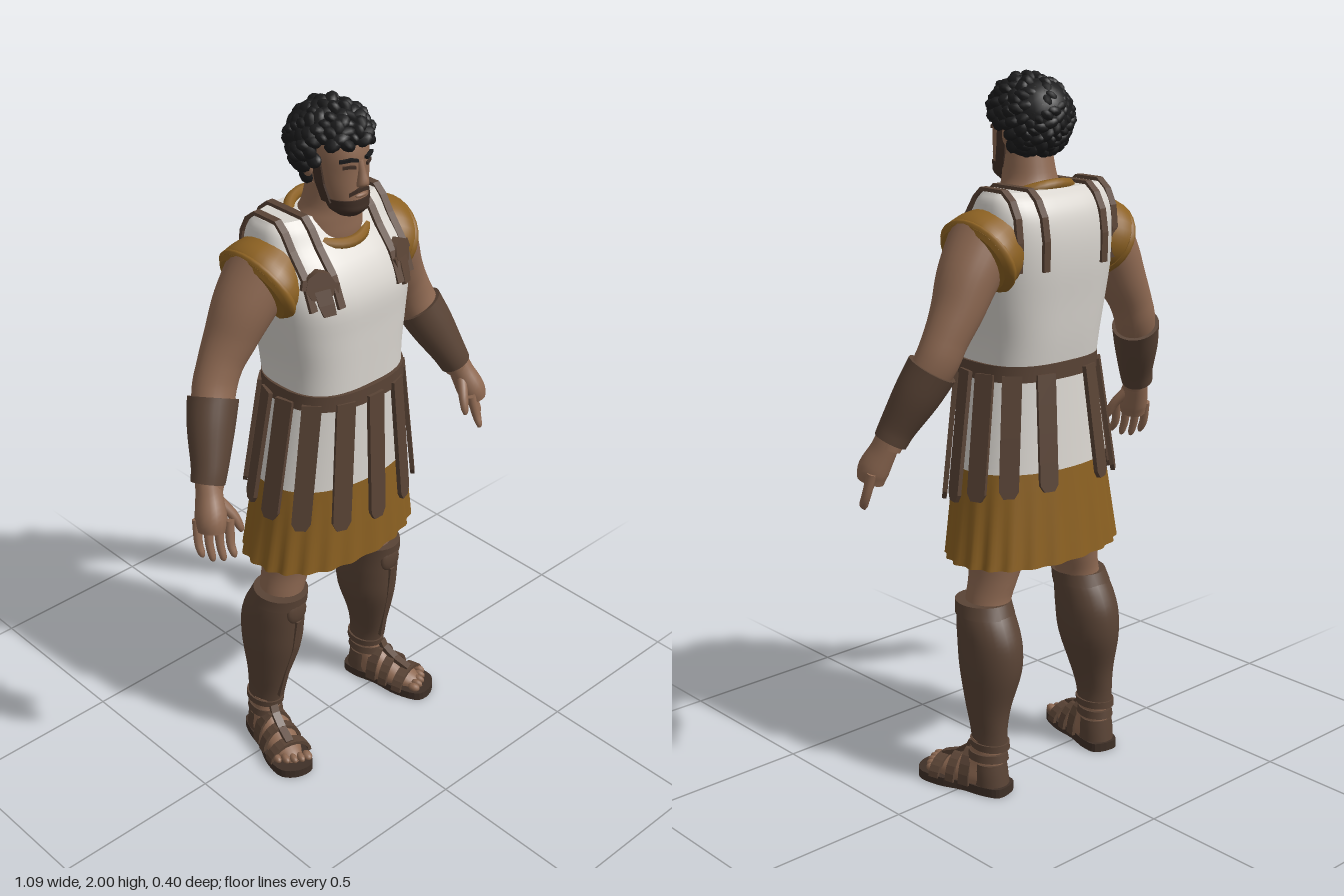
import * as THREE from 'three';
import { mergeGeometries } from 'three/addons/utils/BufferGeometryUtils.js';

const V = (x, y, z) => new THREE.Vector3(x, y, z);
const material = (name, color, side = THREE.FrontSide) =>
  Object.assign(new THREE.MeshStandardMaterial({ color, side }), { name });

// Closed skin over rows of points, with optional end caps
function skin(rows, caps = true) {
  const n = rows[0].length, pos = [], idx = [];
  rows.forEach(r => r.forEach(p => pos.push(p.x, p.y, p.z)));
  for (let i = 0; i < rows.length - 1; i++) for (let j = 0; j < n; j++) {
    const a = i * n + j, b = i * n + (j + 1) % n;
    idx.push(a, b, b + n, a, b + n, a + n);
  }
  if (caps) [rows[0], rows[rows.length - 1]].forEach((r, end) => {
    const base = pos.length / 3, c = V(0, 0, 0);
    r.forEach(p => { pos.push(p.x, p.y, p.z); c.addScaledVector(p, 1 / n); });
    pos.push(c.x, c.y, c.z);
    for (let j = 0; j < n; j++) {
      const a = base + j, b = base + (j + 1) % n;
      idx.push(...(end ? [a, b, base + n] : [b, a, base + n]));
    }
  });
  const g = new THREE.BufferGeometry();
  g.setAttribute('position', new THREE.Float32BufferAttribute(pos, 3));
  g.setIndex(idx);
  g.computeVertexNormals();
  return g;
}

// Smooth loft through rings [x, y, z, radiusA, radiusB], listed from bottom to top
function sweep(rings, { seg = 28, n = 2, flat = true, sub = 4, wave = () => 1, caps = true } = {}) {
  const path = new THREE.CatmullRomCurve3(rings.map(r => V(r[0], r[1], r[2])), false, 'catmullrom', 0.5);
  const size = new THREE.CatmullRomCurve3(rings.map(r => V(r[3], r[4], 0)), false, 'catmullrom', 0.5);
  const count = (rings.length - 1) * sub, rows = [];
  const power = a => Math.sign(a) * Math.abs(a) ** (2 / n);
  for (let i = 0; i <= count; i++) {
    const t = i / count, c = path.getPoint(t), r = size.getPoint(t);
    const dir = flat ? V(0, 1, 0) : path.getTangent(t);
    const u = V().crossVectors(dir, V(0, 0, 1)).normalize(), v = V().crossVectors(u, dir);
    rows.push(Array.from({ length: seg }, (_, j) => {
      const a = j / seg * Math.PI * 2, w = wave(a, t);
      return c.clone().addScaledVector(u, power(Math.sin(a)) * r.x * w).addScaledVector(v, power(Math.cos(a)) * r.y * w);
    }));
  }
  return skin(rows, caps);
}

// Flat strap along points; taper narrows the last point
function ribbon(points, width, half, thick, taper = 1) {
  const w = width.clone().normalize(), last = points.length - 1;
  const rows = points.map((p, i) => {
    const t = points[Math.min(i + 1, last)].clone().sub(points[Math.max(i - 1, 0)]);
    const nrm = V().crossVectors(w, t).normalize(), h = half * (i === last ? taper : 1);
    return [[-1, 1], [1, 1], [1, -1], [-1, -1]].map(([a, b]) =>
      p.clone().addScaledVector(w, a * h).addScaledVector(nrm, b * thick / 2));
  });
  const g = skin(rows).toNonIndexed();
  g.computeVertexNormals();
  return g;
}

function blob(x, y, z, rx, ry, rz, detail = 2) {
  return new THREE.IcosahedronGeometry(1, detail).scale(rx, ry, rz).translate(x, y, z);
}

export function createModel() {
  const man = new THREE.Group();
  man.name = 'armouredMan';
  const tan = material('skin', 0x8e6952), white = material('paleArmour', 0xd8d4ce, THREE.DoubleSide);
  const gold = material('ochreCloth', 0x8c6122, THREE.DoubleSide);
  const leather = material('leather', 0x594335), sole = material('darkLeather', 0x3f3027);
  const black = material('hair', 0x1b1b1c), stubble = material('beard', 0x402f26);
  const add = (name, geo, mat, parent = man) => {
    const m = new THREE.Mesh(geo, mat);
    m.name = name;
    parent.add(m);
    return m;
  };

  // Cuirass, belt, neck and collar
  const chest = [[0, 1.2, .012, .186, .152], [0, 1.3, .005, .19, .16], [0, 1.4, 0, .205, .166], [0, 1.5, -.006, .217, .171],
    [0, 1.58, -.024, .216, .154], [0, 1.64, -.045, .21, .122], [0, 1.68, -.048, .202, .096], [0, 1.703, -.046, .188, .07]];
  const chestPower = 2.8;
  add('cuirass', sweep(chest, { n: chestPower, seg: 48 }), white);
  add('belt', sweep([[0, 1.195, .014, .198, .165], [0, 1.24, .013, .195, .165]], { n: 2.5, seg: 40, sub: 1 }), leather);
  add('neck', sweep([[0, 1.58, -.01, .09, .08], [0, 1.64, -.006, .1, .086], [0, 1.685, -.004, .092, .084], [0, 1.725, .004, .074, .076],
    [0, 1.79, .012, .066, .07]]), tan);
  const collar = add('collar', new THREE.TorusGeometry(.103, .016, 8, 36).rotateX(Math.PI / 2), gold);
  collar.position.set(0, 1.67, -.008);
  collar.rotation.x = .42;

  // Layered skirt following one flared outline
  const outline = y => {
    const k = (1.22 - y) / .55;
    return [0, y, .012 - .02 * k, .19 + .085 * k, .155 + .025 * k];
  };
  const pleat = (a, t) => 1 + .022 * t * Math.sin(a * 22) + .006 * Math.sin(a * 9);
  const skirtRings = [.68, .77, .87, .97].map(outline);
  add('tunicSkirt', sweep(skirtRings, { seg: 132, n: 2.2, caps: false, wave: (a, t) => pleat(a, 1 - t) }), gold);
  add('tunicLining', sweep(skirtRings.map(r => [r[0], r[1], r[2], r[3] * .98, r[4] * .98]).reverse(),
    { seg: 132, n: 2.2, wave: pleat }), white);
  add('armourSkirt', sweep([.945, 1.03, 1.12, 1.21].map(outline).map(r => [r[0], r[1], r[2], r[3] + .004, r[4] + .004]),
    { seg: 48, n: 2.2 }), white);
  [0, 27, 54, 80, 105, 130, 157].forEach(deg => (deg ? [1, -1] : [1]).forEach(s => {
    const a = s * deg * Math.PI / 180, end = .86 - .04 * Math.cos(a);
    const bulge = 1 + .035 * Math.sin(2 * a) ** 2;
    const at = y => {
      const [, , cz, rx, rz] = outline(y), lift = .014 + .03 * (1.22 - y);
      return V((rx + .012) * Math.sin(a) * bulge, y, cz + (rz + lift) * Math.cos(a) * bulge);
    };
    const pts = [0, .25, .5, .75, .94, 1].map(t => at(1.215 + (end - 1.215) * t));
    const [, , , rx, rz] = outline(1);
    add('skirtStrap', ribbon(pts, V(rx * Math.cos(a), 0, -rz * Math.sin(a)), .027, .012, .55), leather);
  }));

  // Head, face and beard
  add('head', sweep([[0, 1.715, .065, .032, .038], [0, 1.735, .06, .05, .06], [0, 1.78, .04, .065, .079], [0, 1.83, .02, .073, .098],
    [0, 1.88, .01, .077, .107], [0, 1.93, 0, .075, .1], [0, 1.97, -.005, .05, .07]], { n: 2.2 }), tan);
  add('beard', sweep([[0, 1.71, .066, .033, .04], [0, 1.728, .061, .052, .063], [0, 1.745, .055, .058, .07], [0, 1.76, .049, .063, .076]],
    { n: 2.2 }), stubble);
  add('moustache', ribbon([V(-.033, 1.775, .108), V(-.015, 1.785, .12), V(0, 1.788, .123), V(.015, 1.785, .12), V(.033, 1.775, .108)],
    V(0, 1, 0), .005, .009), stubble);
  add('lips', blob(0, 1.771, .119, .02, .006, .008), tan);
  add('nose', sweep([[0, 1.797, .122, .017, .012], [0, 1.808, .124, .016, .018], [0, 1.835, .12, .01, .012], [0, 1.865, .112, .009, .01]],
    { seg: 12 }), tan);
  for (const s of [1, -1]) {
    add('ear', blob(s * .079, 1.838, .005, .011, .03, .018), tan);
    add('sideburn', ribbon([V(s * .059, 1.75, .055), V(s * .068, 1.8, .04), V(s * .073, 1.87, .03)], V(0, 0, 1), .016, .01), stubble);
    add('eye', ribbon([V(s * .019, 1.85, .118), V(s * .033, 1.852, .111), V(s * .048, 1.85, .1)], V(0, 1, 0), .004, .008), stubble);
    add('eyebrow', ribbon([V(s * .014, 1.868, .12), V(s * .033, 1.872, .114), V(s * .055, 1.867, .096)], V(0, 1, 0), .004, .012), black);
  }

  // Curly hair: lumps spread over a skull cap, leaving the face free
  const curls = [blob(0, 1.89, -.025, .097, .096, .098, 3)];
  for (let i = 0; i < 230; i++) {
    const h = 1 - 2 * (i + .5) / 230, a = i * 2.39996, r = Math.sqrt(1 - h * h);
    const x = .093 * r * Math.sin(a), y = 1.879 + .099 * h, z = .108 * r * Math.cos(a) + .004;
    if (y < 1.782 || (z > .045 && y < 1.905) || (z > -.005 && y < 1.86)) continue;
    const k = .019 + .006 * Math.abs(Math.sin(i * 7.3));
    curls.push(new THREE.IcosahedronGeometry(1, 1).scale(k, k * .7, k * 1.2).rotateY(i * 1.7).rotateZ(i).translate(x, y, z));
  }
  add('hair', mergeGeometries(curls), black);

  for (const s of [1, -1]) {
    const side = rings => rings.map(([x, ...rest]) => [s * x, ...rest]);

    // Leather edging over the shoulder, lying on the cuirass
    const onChest = (x, front) => ([, y, cz, rx, rz]) => {
      const depth = rz * (1 - (x / rx) ** chestPower) ** (1 / chestPower);
      const p = V(s * x, y, cz + front * depth);
      return p.add(V(0, Math.max(0, y - 1.6), front * depth).setLength(.005));
    };
    const upper = chest.slice(3);
    for (const x of [.106, .174]) add('shoulderEdging', ribbon([...upper.map(onChest(x, 1)), ...upper.map(onChest(x, -1)).reverse()],
      V(1, 0, 0), .011, .01), leather);

    // Clasp on the chest
    const clasp = new THREE.Group();
    clasp.name = 'clasp';
    clasp.position.set(s * .143, 1.56, .118);
    clasp.rotation.set(-.25, s * .4, 0);
    man.add(clasp);
    add('claspPlate', new THREE.CylinderGeometry(.041, .045, .022, 8).rotateX(Math.PI / 2), leather, clasp);
    add('claspBar', new THREE.BoxGeometry(.1, .026, .02).rotateZ(s * .3), leather, clasp);
    add('claspTail', ribbon([V(0, .01, 0), V(s * -.006, -.05, .006), V(s * -.01, -.08, .008)], V(1, 0, 0), .021, .018, .8), leather, clasp);

    // Sleeve and arm
    add('sleeve', sweep(side([[.233, 1.535, -.035, .1, .128], [.217, 1.542, -.035, .107, .132], [.19, 1.555, -.037, .108, .125],
      [.15, 1.575, -.04, .098, .105]]), { flat: false }), gold);
    add('sleeveHem', sweep(side([[.24, 1.528, -.035, .092, .118], [.226, 1.534, -.035, .111, .136], [.213, 1.54, -.035, .109, .132]]),
      { flat: false, sub: 2 }), gold);
    add('arm', sweep(side([[.472, 1.05, .045, .035, .038], [.45, 1.11, .03, .045, .04], [.382, 1.26, -.035, .06, .055],
      [.345, 1.34, -.048, .062, .06], [.305, 1.41, -.048, .07, .073], [.262, 1.49, -.042, .081, .088], [.2, 1.58, -.035, .088, .1]]),
      { flat: false }), tan);
    add('bracer', sweep(side([[.469, 1.068, .037, .046, .046], [.45, 1.11, .025, .051, .05], [.415, 1.19, -.008, .065, .061],
      [.382, 1.262, -.035, .071, .066]]), { flat: false }), leather);

    // Hand
    add('palm', sweep(side([[.502, .955, .085, .035, .04], [.495, .99, .077, .041, .045], [.48, 1.04, .055, .036, .038],
      [.47, 1.08, .04, .034, .034]]), { flat: false, seg: 16 }), tan);
    for (let i = 0; i < 4; i++) {
      const x = .528 - .02 * i, z = .052 + .02 * i, tip = .868 + .012 * Math.abs(i - 1.4);
      add('finger', sweep(side([[x + .003, tip, z + .03, .004, .004], [x + .005, tip + .012, z + .027, .01, .01],
        [x + .004, .925, z + .014, .012, .012], [x - .006, .985, z, .014, .014]]), { flat: false, seg: 10, sub: 3 }), tan);
    }
    add('thumb', sweep(side([[.43, .94, .122, .005, .005], [.432, .955, .118, .011, .011], [.442, .99, .1, .014, .014],
      [.468, 1.035, .065, .017, .017]]), { flat: false, seg: 10, sub: 3 }), tan);

    // Leg and greave
    add('leg', sweep(side([[.21, .08, -.055, .036, .045], [.207, .2, -.05, .042, .055], [.19, .42, -.04, .07, .085],
      [.178, .54, -.015, .062, .068], [.157, .62, -.015, .066, .074], [.14, .7, -.015, .078, .088], [.115, .9, -.02, .095, .1]])), tan);
    add('greave', sweep(side([[.21, .135, -.058, .045, .056], [.21, .19, -.052, .045, .062], [.205, .26, -.045, .057, .075],
      [.194, .36, -.043, .077, .1], [.191, .44, -.038, .081, .104], [.19, .5, -.025, .079, .095], [.186, .555, -.006, .072, .08]])), leather);
    add('greaveRim', sweep(side([[.189, .525, -.015, .08, .09], [.186, .56, -.005, .076, .083]]), { sub: 1 }), leather);
    add('kneePlate', blob(s * .188, .512, .064, .036, .042, .014), leather);
    add('greaveRidge', ribbon([V(s * .189, .48, .071), V(s * .193, .38, .057), V(s * .204, .27, .03), V(s * .21, .18, .011)],
      V(1, 0, 0), .008, .012), leather);
    add('ankleBand', sweep(side([[.21, .135, -.058, .05, .062], [.21, .155, -.056, .05, .063]]), { sub: 1 }), leather);

    // Sandalled foot, turned outward
    const foot = new THREE.Group();
    foot.name = 'foot';
    foot.position.set(s * .215, 0, -.05);
    foot.rotation.y = s * .24;
    man.add(foot);
    const outlinePts = [[-.035, -.066], [.035, -.066], [.05, -.02], [.052, .05], [.066, .13], [.055, .2], [.01, .226], [-.04, .216], [-.058, .14], [-.048, .05], [-.05, -.02]];
    const shape = new THREE.Shape(new THREE.CatmullRomCurve3(outlinePts.map(([x, z]) => V(s * x, -z, 0)), true).getPoints(44)
      .map(p => new THREE.Vector2(p.x, p.y)));
    add('sole', new THREE.ExtrudeGeometry(shape, { depth: .026, bevelEnabled: false }).rotateX(-Math.PI / 2), sole, foot);
    add('footSkin', sweep([[0, .02, .07, .05, .126], [0, .045, .06, .053, .122], [0, .08, .025, .046, .08], [0, .11, .003, .042, .054],
      [0, .16, -.003, .04, .048]]), tan, foot);
    for (let i = 0; i < 5; i++)
      add('toe', blob(s * (-.036 + .021 * i), .038, .192 - .002 * i * i, i ? .011 : .014, .013, .02, 1), tan, foot);
    add('heelCup', sweep([[0, .02, -.014, .05, .053], [0, .06, -.012, .049, .05], [0, .09, -.01, .046, .048]]), leather, foot);
    for (const [z, top, half, w] of [[.045, .118, .055, .017], [.09, .092, .06, .014], [.143, .07, .064, .016]]) {
      const arc = Array.from({ length: 11 }, (_, i) => {
        const a = Math.PI * i / 10;
        return V(half * Math.cos(a), .02 + (top - .02) * Math.sin(a), z);
      });
      add('sandalStrap', ribbon(arc, V(0, 0, 1), w, .01), leather, foot);
    }
    add('sandalTongue', ribbon([V(0, .14, .048), V(0, .118, .06), V(0, .09, .1), V(0, .072, .15)], V(1, 0, 0), .012, .014), leather, foot);
    add('ankleStrap', sweep([[0, .1, -.004, .05, .062], [0, .122, -.004, .047, .058]], { sub: 1 }), leather, foot);
  }
  return man;
}
